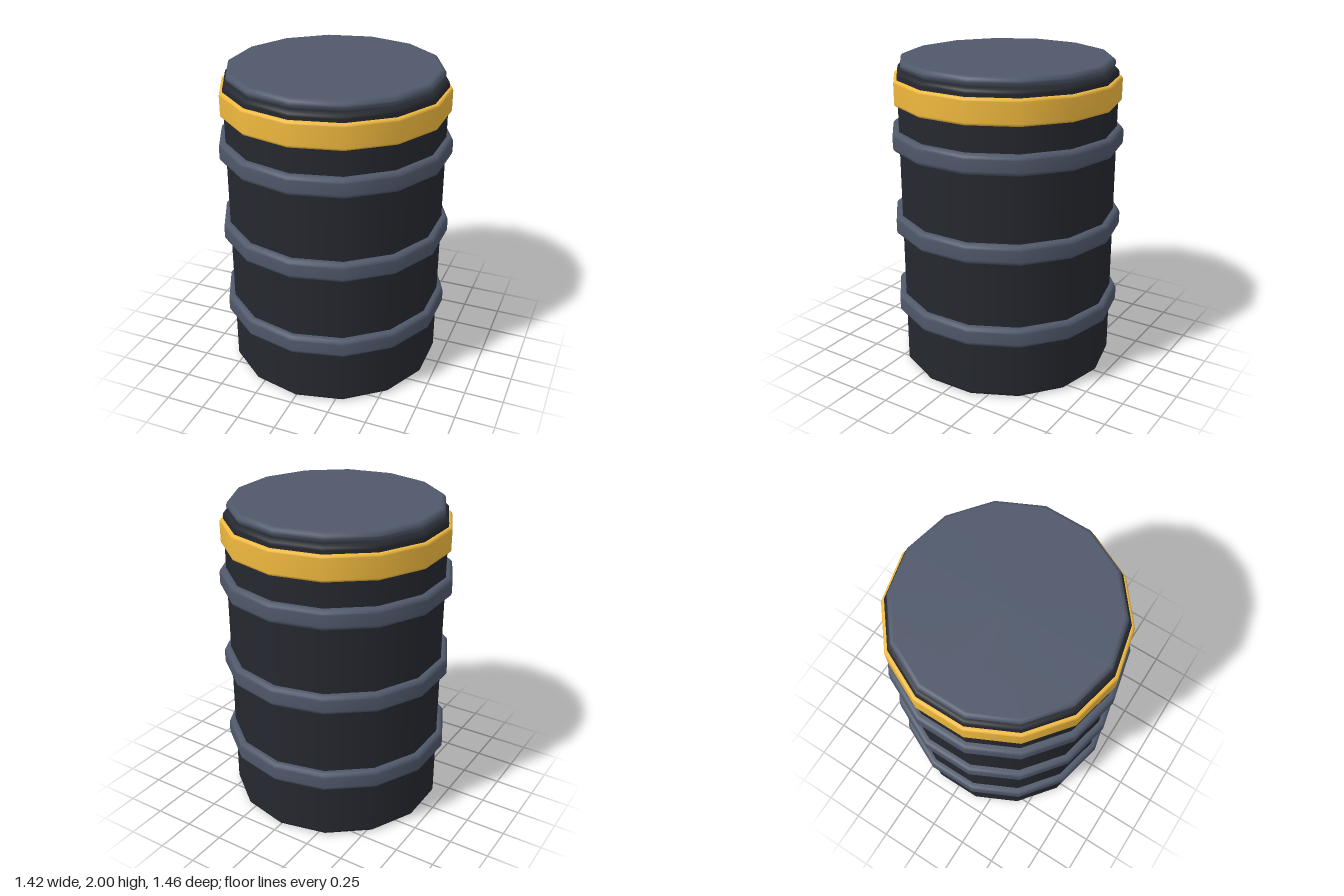
import * as THREE from 'three';

const SIDES = 14;
const material = (color) => new THREE.MeshStandardMaterial({ color });

// Lathed drum with rounded rims; an inner radius above 0 makes a closed-topped band.
function roundedDrum(name, radius, y0, y1, bevel, mat, inner = 0) {
  const points = [new THREE.Vector2(inner, y0)];
  const steps = 3;
  for (const [cy, start] of [[y0 + bevel, -Math.PI / 2], [y1 - bevel, 0]]) {
    for (let i = 0; i <= steps; i++) {
      const a = start + (i / steps) * Math.PI / 2;
      points.push(new THREE.Vector2(radius - bevel + bevel * Math.cos(a), cy + bevel * Math.sin(a)));
    }
  }
  points.push(new THREE.Vector2(inner, y1));
  const mesh = new THREE.Mesh(new THREE.LatheGeometry(points, SIDES), mat);
  mesh.name = name;
  return mesh;
}

export function createModel() {
  const model = new THREE.Group();
  model.name = 'barrel';
  const dark = material(0x25282f);
  const steel = material(0x4f586a);
  const yellow = material(0xf0b93e);

  // Main shell
  model.add(roundedDrum('body', 0.688, 0, 1.94, 0.03, dark));

  // Three reinforcing hoops
  [0.43, 0.97, 1.513].forEach((y, i) => {
    model.add(roundedDrum(`hoop${i + 1}`, 0.73, y - 0.062, y + 0.062, 0.028, steel, 0.66));
  });

  // Coloured band below the rim
  model.add(roundedDrum('colourBand', 0.71, 1.732, 1.89, 0.018, yellow, 0.66));

  // Lid
  model.add(roundedDrum('lid', 0.665, 1.94, 2, 0.028, steel));
  return model;
}
